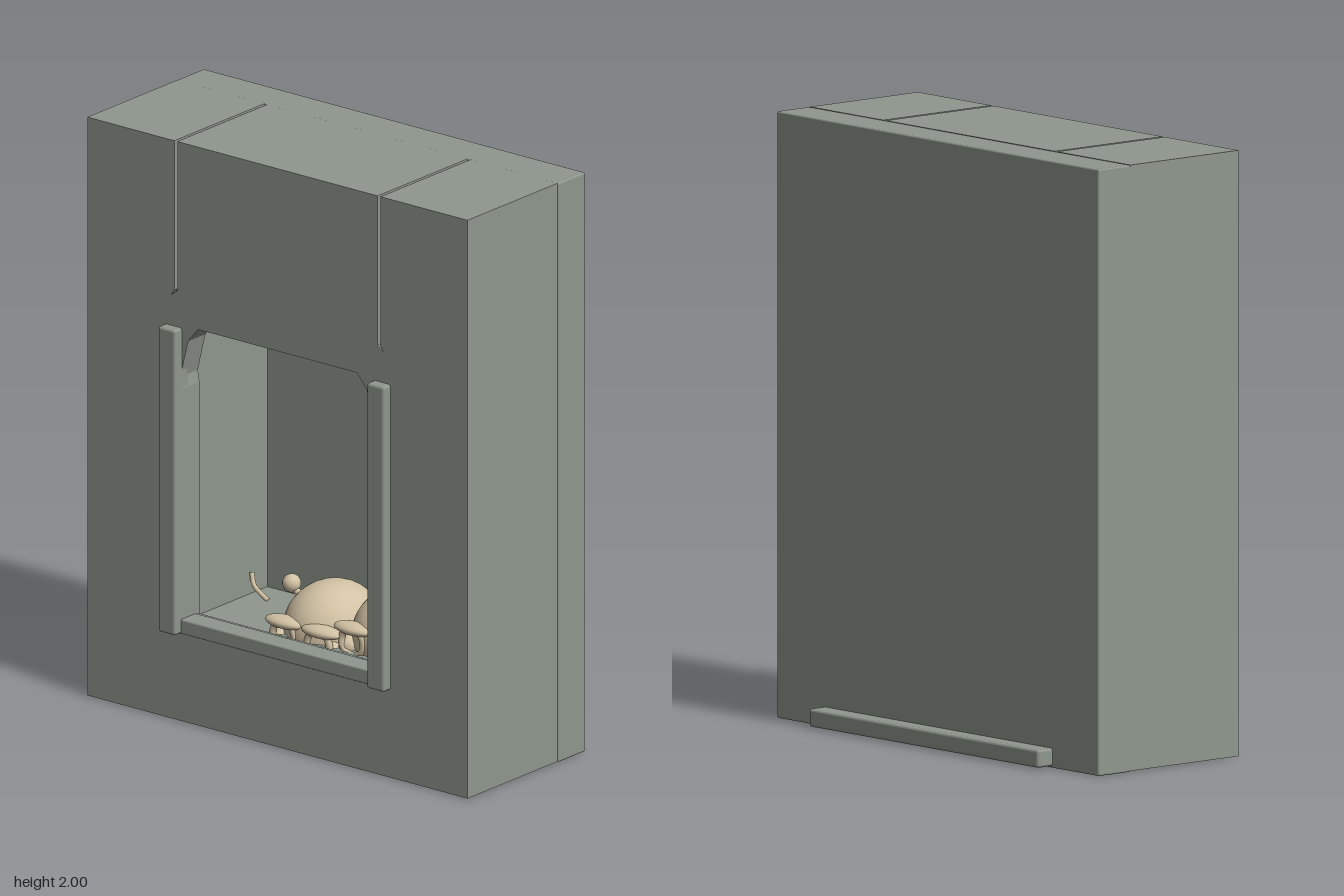
import * as THREE from 'three';
import { RoundedBoxGeometry } from 'three/addons/geometries/RoundedBoxGeometry.js';

const stone = new THREE.MeshStandardMaterial({ name: 'grey stone', color: 0x8f978d });
const bone = new THREE.MeshStandardMaterial({ name: 'old bone', color: 0xd2c2a4 });

function add(parent, name, geometry, material, x = 0, y = 0, z = 0) {
  const mesh = new THREE.Mesh(geometry, material);
  mesh.name = name;
  mesh.position.set(x, y, z);
  parent.add(mesh);
  return mesh;
}

// Box with softened edges, given by its limits
function block(parent, name, x0, x1, y0, y1, z0, z1, r) {
  const geo = new RoundedBoxGeometry(x1 - x0, y1 - y0, z1 - z0, 2, r);
  return add(parent, name, geo, stone, (x0 + x1) / 2, (y0 + y1) / 2, (z0 + z1) / 2);
}

// Wall slab with two joints cut down from its top edge and an opening
function wallLayer(parent, name, z0, z1, jointBottom, flare, opening) {
  const w = 0.006, j = 0.426;
  const shape = new THREE.Shape();
  shape.moveTo(-0.797, 0.003);
  shape.lineTo(0.797, 0.003);
  shape.lineTo(0.797, 2);
  for (const s of [1, -1]) {
    const edge = [[j + w, 2], [j + w, jointBottom + flare * 1.4], [j + w + flare, jointBottom],
      [j - w, jointBottom + flare * 1.4], [j - w, 2]];
    if (s < 0) edge.reverse();
    edge.forEach(([x, y]) => shape.lineTo(s * x, y));
  }
  shape.lineTo(-0.797, 2);
  shape.closePath();
  const mirrored = opening.map(([x, y]) => [-x, y]).reverse();
  shape.holes.push(new THREE.Path([...opening, ...mirrored].map(([x, y]) => new THREE.Vector2(x, y))));
  const geo = new THREE.ExtrudeGeometry(shape, { depth: z1 - z0, bevelEnabled: false });
  add(parent, name, geo, stone, 0, 0, z0);
}

// Half-buried skull: cranium, brows, eye rims and cheeks
function skull(parent, x, y, z, turn) {
  const g = new THREE.Group();
  g.name = 'skull';
  g.position.set(x, y, z);
  g.rotation.y = turn;
  add(g, 'cranium', new THREE.SphereGeometry(0.16, 32, 20), bone).scale.set(1, 1, 1.1);
  for (const s of [-1, 1]) {
    const brow = add(g, 'brow', new THREE.SphereGeometry(0.08, 20, 12), bone, s * 0.076, 0.043, 0.155);
    brow.scale.set(1, 0.26, 0.5);
    add(g, 'eyeRim', new THREE.TorusGeometry(0.046, 0.012, 8, 24), bone, s * 0.073, 0, 0.168);
    add(g, 'cheek', new THREE.SphereGeometry(0.035, 14, 10), bone, s * 0.11, -0.025, 0.14);
  }
  parent.add(g);
}

export function createModel() {
  const model = new THREE.Group();
  model.name = 'stoneNiche';

  // Wall with its recess
  block(model, 'backWall', -0.8, 0.8, 0, 2, -0.29, -0.15, 0.006);
  const front = [[0.4, 0.35], [0.4, 1.15], [0.407, 1.19], [0.375, 1.32], [0.333, 1.37]];
  const chamber = [[0.42, 0.335], [0.42, 1.345]];
  wallLayer(model, 'chamberWalls', -0.15, 0.225, 1.975, 0, chamber);
  wallLayer(model, 'openingFrame', 0.225, 0.295, 1.975, 0, front);
  wallLayer(model, 'frontFace', 0.295, 0.315, 1.465, 0.014, front);

  // Trim round the opening and the ledge behind
  for (const s of [-1, 1]) {
    block(model, 'sidePost', s * 0.4375 - 0.0365, s * 0.4375 + 0.0365, 0.305, 1.36, 0.28, 0.35, 0.01);
  }
  block(model, 'sill', -0.41, 0.41, 0.305, 0.355, 0.24, 0.319, 0.006);
  block(model, 'backLedge', -0.57, 0.57, 0.005, 0.065, -0.352, -0.26, 0.01);

  // Bones lying on the chamber floor
  skull(model, 0, 0.338, 0.025, 0);
  skull(model, 0.272, 0.37, 0.005, 0);
  add(model, 'boneKnob', new THREE.SphereGeometry(0.031, 20, 14), bone, -0.265, 0.4, -0.085);
  const shaft = new THREE.LineCurve3(new THREE.Vector3(-0.265, 0.39, -0.085), new THREE.Vector3(-0.17, 0.335, -0.085));
  add(model, 'boneShaft', new THREE.TubeGeometry(shaft, 4, 0.012, 10), bone);
  const rib = new THREE.CatmullRomCurve3([[-0.412, 0.41, -0.06], [-0.395, 0.375, -0.05],
    [-0.365, 0.355, -0.045], [-0.33, 0.335, -0.045]].map((p) => new THREE.Vector3(...p)));
  add(model, 'rib', new THREE.TubeGeometry(rib, 16, 0.008, 8), bone);

  return model;
}
